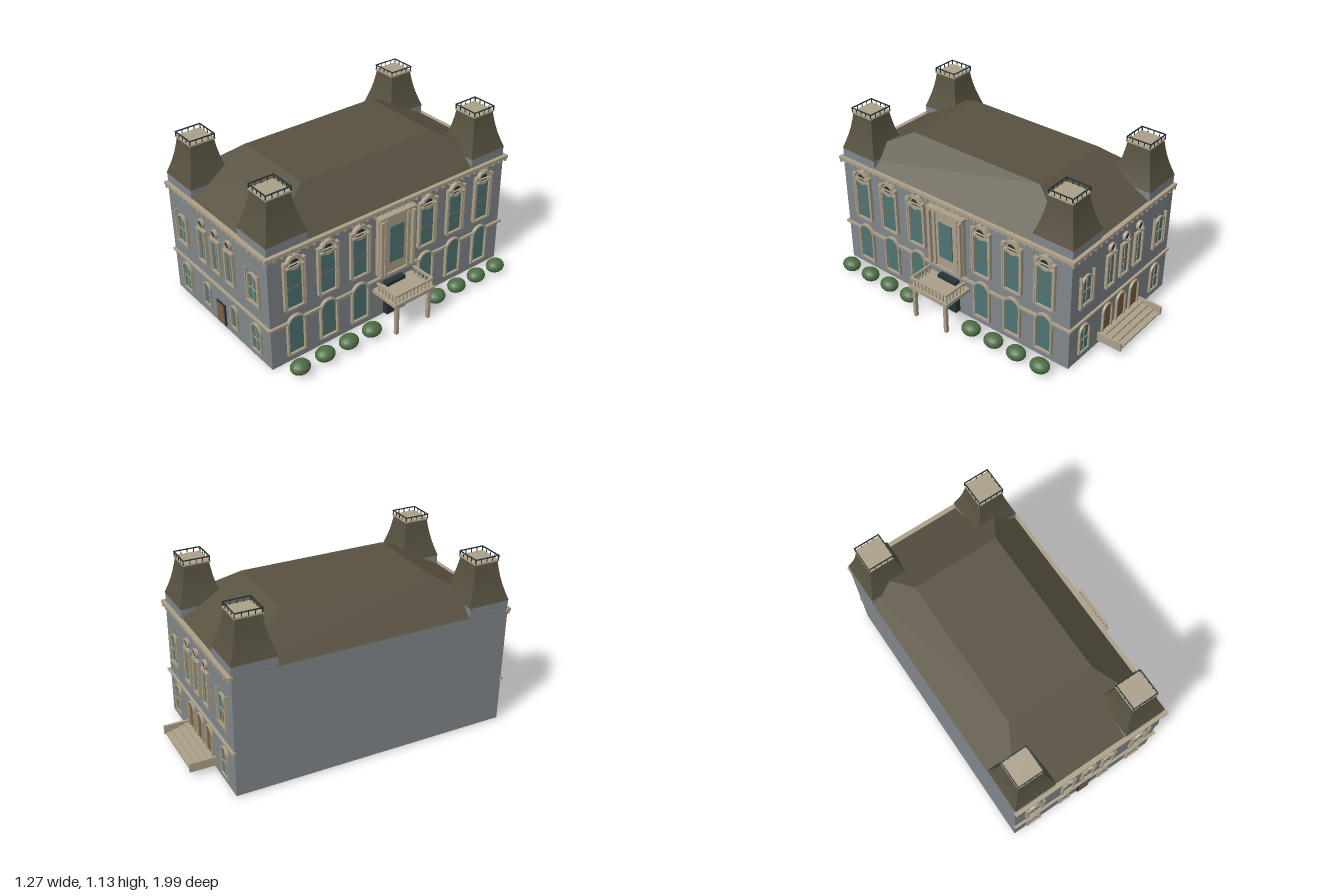
import * as THREE from 'three';

const mat = (name, color) => {
  const m = new THREE.MeshStandardMaterial({ color });
  m.name = name;
  return m;
};

export function createModel() {
  const wall = mat('wall grey', 0x80868a), trim = mat('stone trim', 0xab9f88), roof = mat('roof', 0x575140);
  const glass = mat('glass', 0x4f7474), dark = mat('dark iron', 0x263436), wood = mat('wood', 0x7a5e45);
  const leaf = mat('leaf', 0x4d6e46);
  const model = new THREE.Group();
  model.name = 'mansion';

  const add = (parent, name, geo, m, x = 0, y = 0, z = 0) => {
    const mesh = new THREE.Mesh(geo, m);
    mesh.name = name;
    mesh.position.set(x, y, z);
    parent.add(mesh);
    return mesh;
  };
  // Box given by its ranges on each axis
  const box = (parent, name, m, x0, x1, y0, y1, z0, z1) =>
    add(parent, name, new THREE.BoxGeometry(x1 - x0, y1 - y0, z1 - z0), m, (x0 + x1) / 2, (y0 + y1) / 2, (z0 + z1) / 2);
  const group = (parent, name, x = 0, y = 0, z = 0) => {
    const g = new THREE.Group();
    g.name = name;
    g.position.set(x, y, z);
    parent.add(g);
    return g;
  };

  // Round-headed outline
  const arch = (Type, w, y0, y1) => {
    const r = w / 2, s = new Type();
    s.moveTo(-r, y0);
    s.lineTo(r, y0);
    s.lineTo(r, y1 - r);
    s.absarc(0, y1 - r, r, 0, Math.PI, false);
    s.lineTo(-r, y0);
    return s;
  };
  const slab = (shape, depth) => new THREE.ExtrudeGeometry(shape, { depth, bevelEnabled: false, curveSegments: 10 });

  // Arched opening with surround; optional glazing bars
  function archWindow(f, x, w, y0, y1, { fill = glass, bars = false, t = 0.01, depth = 0.015, name = 'archWindow' } = {}) {
    const g = group(f, name, x);
    const outer = arch(THREE.Shape, w, y0, y1);
    outer.holes.push(arch(THREE.Path, w - 2 * t, y0 + t, y1 - t));
    add(g, 'surround', slab(outer, depth), trim);
    add(g, 'pane', slab(arch(THREE.Shape, w - 2 * t, y0 + t, y1 - t), 0.005), fill);
    if (bars) {
      box(g, 'mullion', trim, -0.003, 0.003, y0 + t, y1 - t, 0, 0.009);
      const ym = y0 + (y1 - y0) * 0.47;
      box(g, 'transom', trim, -w / 2 + t, w / 2 - t, ym - 0.003, ym + 0.003, 0, 0.009);
    }
    return g;
  }

  // Tall rectangular window with a round light above
  function tallWindow(f, x, w, y0, y1, r, yr, mullion) {
    const g = group(f, 'tallWindow', x), t = 0.012;
    for (const s of [-1, 1]) box(g, 'jamb', trim, s * (w - t) / 2 - t / 2, s * (w - t) / 2 + t / 2, y0, y1, 0, 0.018);
    box(g, 'sill', trim, -w / 2, w / 2, y0, y0 + t, 0, 0.02);
    box(g, 'lintel', trim, -w / 2, w / 2, y1 - t, y1, 0, 0.02);
    box(g, 'pane', glass, -w / 2 + t, w / 2 - t, y0 + t, y1 - t, 0, 0.005);
    const ym = (y0 + y1) / 2 - 0.007;
    box(g, 'meetingRail', wood, -w / 2 + t, w / 2 - t, ym - 0.003, ym + 0.003, 0, 0.01);
    if (mullion) box(g, 'mullion', trim, -0.003, 0.003, y0 + t, y1 - t, 0, 0.009);
    const ring = new THREE.Shape().absarc(0, 0, r, 0, Math.PI * 2);
    ring.holes.push(new THREE.Path().absarc(0, 0, r * 0.76, 0, Math.PI * 2));
    add(g, 'roundSurround', slab(ring, 0.02), trim, 0, yr);
    add(g, 'roundLight', slab(new THREE.Shape().absarc(0, 0, r * 0.77, 0, Math.PI * 2), 0.012), dark, 0, yr);
    return g;
  }

  function cornice(f, x0, x1) {
    const g = group(f, 'cornice');
    box(g, 'corniceTop', trim, x0, x1, 0.77, 0.787, -0.01, 0.022);
    box(g, 'corniceBand', trim, x0 + 0.005, x1 - 0.005, 0.757, 0.766, -0.01, 0.014);
    const n = Math.round((x1 - x0) / 0.054);
    for (let i = 0; i <= n; i++) {
      const x = x0 + 0.012 + (x1 - x0 - 0.024) * i / n;
      box(g, 'bracket', trim, x - 0.006, x + 0.006, 0.748, 0.772, 0, 0.02);
    }
  }

  // Main block and hipped roof
  const X0 = -0.63, X1 = 0.417, Z0 = -0.832, Z1 = 0.972, CX = -0.106, CZ = 0.07;
  box(model, 'walls', wall, X0, X1, 0.008, 0.783, Z0, Z1);
  const hip = new THREE.BoxGeometry(X1 - X0, 0.215, Z1 - Z0);
  const hp = hip.attributes.position;
  for (let i = 0; i < hp.count; i++) if (hp.getY(i) > 0) hp.setXYZ(i, Math.sign(hp.getX(i)) * 0.286, 0.1075, Math.sign(hp.getZ(i)) * 0.49);
  hip.computeVertexNormals();
  add(model, 'hippedRoof', hip, roof, CX, 0.8905, CZ);

  // Corner towers: flared roof, platform and railing
  for (const x of [-0.49, 0.277]) for (const z of [-0.693, 0.832]) {
    const t = group(model, 'cornerTower', x, 0, z);
    box(t, 'towerBase', wall, -0.138, 0.138, 0.78, 0.846, -0.138, 0.138);
    const cap = new THREE.BoxGeometry(2, 0.247, 2, 1, 5, 1), p = cap.attributes.position;
    for (let i = 0; i < p.count; i++) {
      const k = p.getY(i) / 0.247 + 0.5, w = 0.14 - 0.062 * k - 0.008 * Math.sin(Math.PI * k);
      p.setX(i, p.getX(i) * w);
      p.setZ(i, p.getZ(i) * w);
    }
    cap.computeVertexNormals();
    add(t, 'towerRoof', cap, roof, 0, 0.9675, 0);
    box(t, 'platform', trim, -0.085, 0.085, 1.088, 1.097, -0.085, 0.085);
    for (let q = 0; q < 4; q++) {
      const side = group(t, 'railing');
      side.rotation.y = q * Math.PI / 2;
      box(side, 'handrail', dark, -0.085, 0.085, 1.12, 1.126, 0.079, 0.085);
      for (let i = 0; i < 5; i++) box(side, 'railPost', dark, -0.084 + i * 0.04, -0.08 + i * 0.04, 1.095, 1.122, 0.08, 0.084);
    }
  }

  // Front and back facades
  function endFacade(name, z, back) {
    const f = group(model, name, 0, 0, z), s = back ? -1 : 1;
    if (back) f.rotation.y = Math.PI;
    const span = back ? [-0.438, 0.635] : [-0.635, 0.438];
    cornice(f, ...span);
    box(f, 'beltCourse', trim, span[0], span[1] - (back ? 0 : 0.008), 0.29, 0.303, -0.01, 0.016);
    for (const x of [-0.49, 0.278]) {
      const g = archWindow(f, s * x, 0.105, 0.413, 0.617, { bars: true });
      for (const k of [-1, 1]) box(g, 'pilaster', trim, k * 0.062 - 0.004, k * 0.062 + 0.004, 0.4, 0.627, 0, 0.018);
      box(g, 'sill', trim, -0.062, 0.062, 0.405, 0.417, 0, 0.018);
      archWindow(f, s * x, 0.102, 0.06, 0.262, { bars: true });
    }
    for (const x of [-0.251, -0.105, 0.041]) tallWindow(f, s * x, 0.092, 0.4, 0.637, 0.03, 0.675, true);
    return f;
  }
  const front = endFacade('frontFacade', Z1, false);
  for (const x of [-0.255, 0.045]) archWindow(front, x, 0.077, 0.078, 0.246);
  box(front, 'doorFrame', dark, -0.15, -0.06, 0.03, 0.182, 0, 0.01);
  box(front, 'frontDoor', wood, -0.142, -0.068, 0.036, 0.174, 0, 0.014);

  const back = endFacade('backFacade', Z0, true);
  for (const x of [0.25, 0.105, -0.04]) archWindow(back, x, 0.1, 0.06, 0.268, { fill: wood, name: 'archDoor' });
  const stair = group(back, 'backSteps', 0.105);
  for (const k of [-1, 1]) box(stair, 'cheekWall', trim, k * 0.222 - 0.008, k * 0.222 + 0.008, 0.035, 0.093, 0, 0.168);
  for (let i = 0; i < 4; i++) box(stair, 'step', trim, -0.216, 0.216, 0.068 - i * 0.011, 0.08 - i * 0.011, i * 0.038, (i + 1) * 0.04);

  // Long entrance side, local x runs toward -z
  const side = group(model, 'entranceSide', X1, 0, 0);
  side.rotation.y = Math.PI / 2;
  cornice(side, -0.994, 0.854);
  const bays = [-0.803, -0.57, -0.337, 0.187, 0.42, 0.655];
  let start = -0.985;
  for (const u of [...bays, 0.91]) {
    box(side, 'beltCourse', trim, start, Math.min(u - 0.055, 0.846), 0.287, 0.302, -0.005, 0.016);
    start = u + 0.055;
  }
  for (const u of bays) {
    const g = tallWindow(side, u, 0.13, 0.38, 0.67, 0.042, 0.688, false);
    for (const k of [-1, 1]) {
      box(g, 'pilaster', trim, k * 0.069 - 0.005, k * 0.069 + 0.005, 0.39, 0.69, 0, 0.022);
      box(g, 'bracket', trim, k * 0.064 - 0.01, k * 0.064 + 0.01, 0.69, 0.712, 0, 0.026);
    }
    const hood = new THREE.Shape().absarc(0, 0, 0.056, 0, Math.PI);
    hood.holes.push(new THREE.Path().absarc(0, 0, 0.048, 0.01, Math.PI - 0.01));
    add(g, 'hoodMould', slab(hood, 0.026), trim, 0, 0.69);
    archWindow(side, u, 0.128, 0.06, 0.335, { t: 0.011, depth: 0.02 });
  }

  // Central bay with its window, door and balcony
  const bay = group(side, 'centralBay', -0.075);
  box(bay, 'bayPanel', trim, -0.136, 0.136, 0.33, 0.73, 0, 0.03);
  box(bay, 'bayCap', trim, -0.142, 0.142, 0.724, 0.739, 0, 0.046);
  for (const k of [-1, 1]) for (const u of [0.122, 0.088])
    box(bay, 'bayPilaster', trim, k * u - 0.01, k * u + 0.01, 0.33, 0.715, 0, u > 0.1 ? 0.052 : 0.042);
  box(bay, 'bayWindow', glass, -0.053, 0.053, 0.4, 0.652, 0, 0.036);
  box(bay, 'entranceDoor', dark, -0.073, 0.073, 0.022, 0.258, 0, 0.04);
  const balcony = group(bay, 'balcony');
  box(balcony, 'deck', trim, -0.158, 0.158, 0.21, 0.234, 0, 0.213);
  box(balcony, 'frontRail', trim, -0.15, 0.15, 0.281, 0.294, 0.19, 0.205);
  for (let i = 0; i < 11; i++) box(balcony, 'baluster', trim, -0.149 + i * 0.029, -0.141 + i * 0.029, 0.232, 0.283, 0.194, 0.202);
  for (const k of [-1, 1]) {
    box(balcony, 'sideRail', trim, k * 0.143 - 0.007, k * 0.143 + 0.007, 0.281, 0.294, 0.03, 0.2);
    for (let i = 0; i < 5; i++) box(balcony, 'baluster', trim, k * 0.143 - 0.004, k * 0.143 + 0.004, 0.232, 0.283, 0.04 + i * 0.031, 0.048 + i * 0.031);
    box(balcony, 'post', trim, k * 0.127 - 0.011, k * 0.127 + 0.011, 0, 0.212, 0.18, 0.202);
  }

  // Clipped bushes along the entrance side
  const bushGeo = new THREE.SphereGeometry(1, 16, 10).scale(0.055, 0.044, 0.064);
  for (const z of [-0.715, -0.54, -0.366, -0.19, 0.333, 0.508, 0.683, 0.86]) add(model, 'bush', bushGeo, leaf, 0.535, 0.052, z);

  return model;
}
